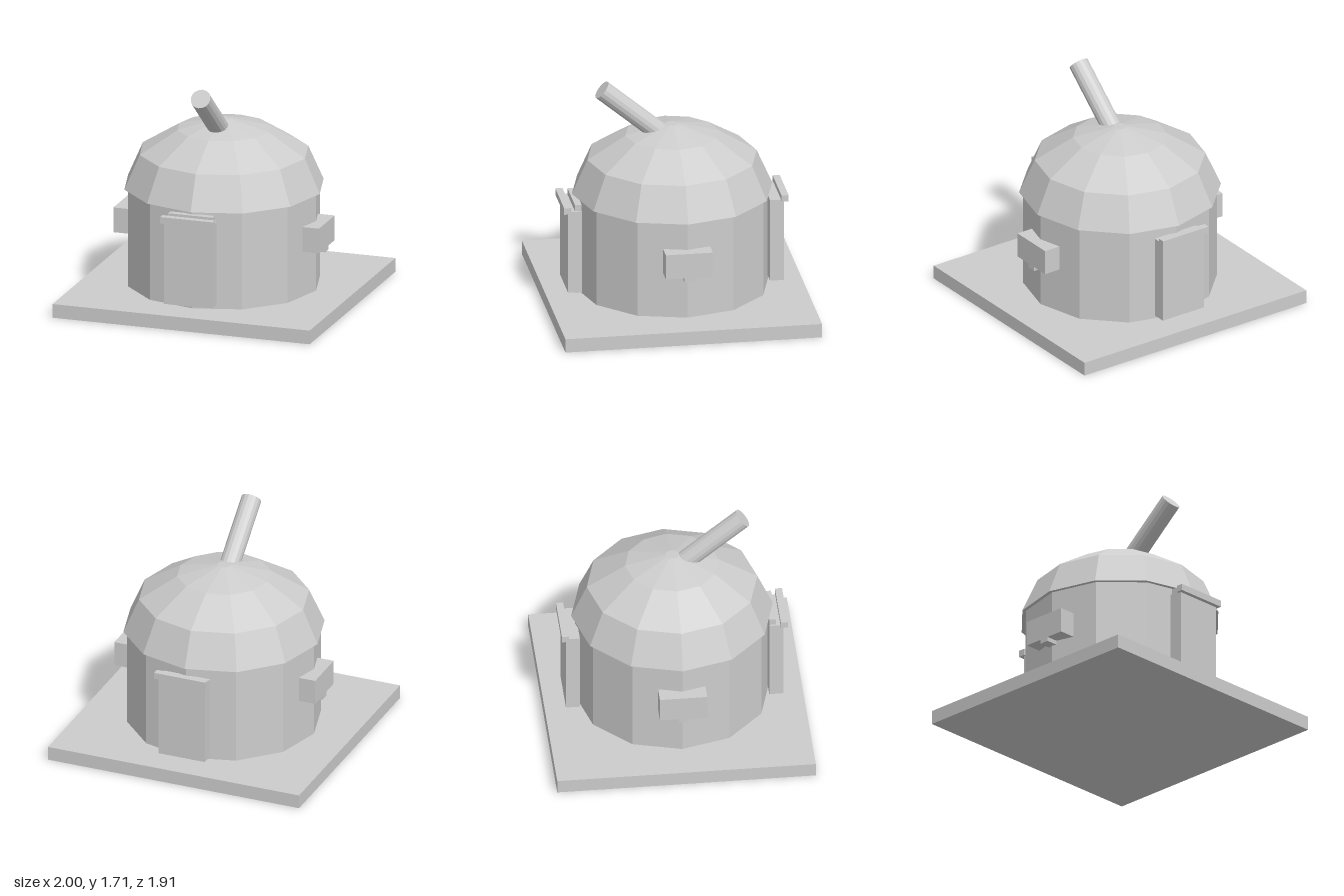
import * as THREE from 'three';

export function createModel() {
  const model = new THREE.Group();
  model.name = 'observatory';
  const grey = new THREE.MeshStandardMaterial({ color: 0xcccccc });
  grey.name = 'plainGrey';

  const add = (name, geometry, parent = model) => {
    const mesh = new THREE.Mesh(geometry, grey);
    mesh.name = name;
    parent.add(mesh);
    return mesh;
  };
  // Faceted copy of a geometry: one normal per face
  const faceted = (geometry) => {
    const flat = geometry.toNonIndexed();
    flat.computeVertexNormals();
    return flat;
  };
  // Box given by its limits on each axis
  const box = (name, [x0, x1], [y0, y1], [z0, z1], parent) => {
    const mesh = add(name, new THREE.BoxGeometry(x1 - x0, y1 - y0, z1 - z0), parent);
    mesh.position.set((x0 + x1) / 2, (y0 + y1) / 2, (z0 + z1) / 2);
    return mesh;
  };

  // Ground slab
  box('base', [-1, 1], [0, 0.105], [-0.955, 0.955]);

  // Twelve-sided wall
  const wall = add('wall', faceted(new THREE.CylinderGeometry(0.717, 0.717, 0.76, 12)));
  wall.position.y = 0.48;

  // Faceted dome with a closed underside that overhangs the wall
  const profile = [[0, 0.85], [0.745, 0.85], [0.63, 1.11], [0.347, 1.285], [0.05, 1.36], [0, 1.36]]
    .map(([r, y]) => new THREE.Vector2(r, y));
  add('dome', faceted(new THREE.LatheGeometry(profile, 12)));

  // Telescope tube rising forward out of the dome
  const length = 0.72;
  const tilt = THREE.MathUtils.degToRad(50);
  const telescope = add('telescope', faceted(new THREE.CylinderGeometry(0.075, 0.075, length, 16)));
  telescope.rotation.x = tilt;
  telescope.position.set(0, 1.657 - Math.cos(tilt) * length / 2, 0.522 - Math.sin(tilt) * length / 2);

  // Front and back doors, each with a lintel
  for (const [name, turn] of [['frontDoor', 0], ['backDoor', Math.PI]]) {
    const door = new THREE.Group();
    door.name = name;
    door.rotation.y = turn;
    box('doorSlab', [-0.185, 0.185], [0.145, 0.78], [0.7, 0.803], door);
    box('lintel', [-0.205, 0.205], [0.77, 0.82], [0.782, 0.835], door);
    model.add(door);
  }
  // Frame behind the front door
  box('frontDoorFrame', [-0.172, 0.172], [0.135, 0.828], [0.7, 0.75]);

  // Side boxes with a small tab below
  for (const [name, side] of [['leftBox', 1], ['rightBox', -1]]) {
    const unit = new THREE.Group();
    unit.name = name;
    const span = side > 0 ? [0.67, 0.8] : [-0.8, -0.67];
    box('housing', span, [0.45, 0.64], [-0.175, 0.175], unit);
    box('tab', span, [0.418, 0.45], [-0.037, 0.037], unit);
    model.add(unit);
  }

  return model;
}
